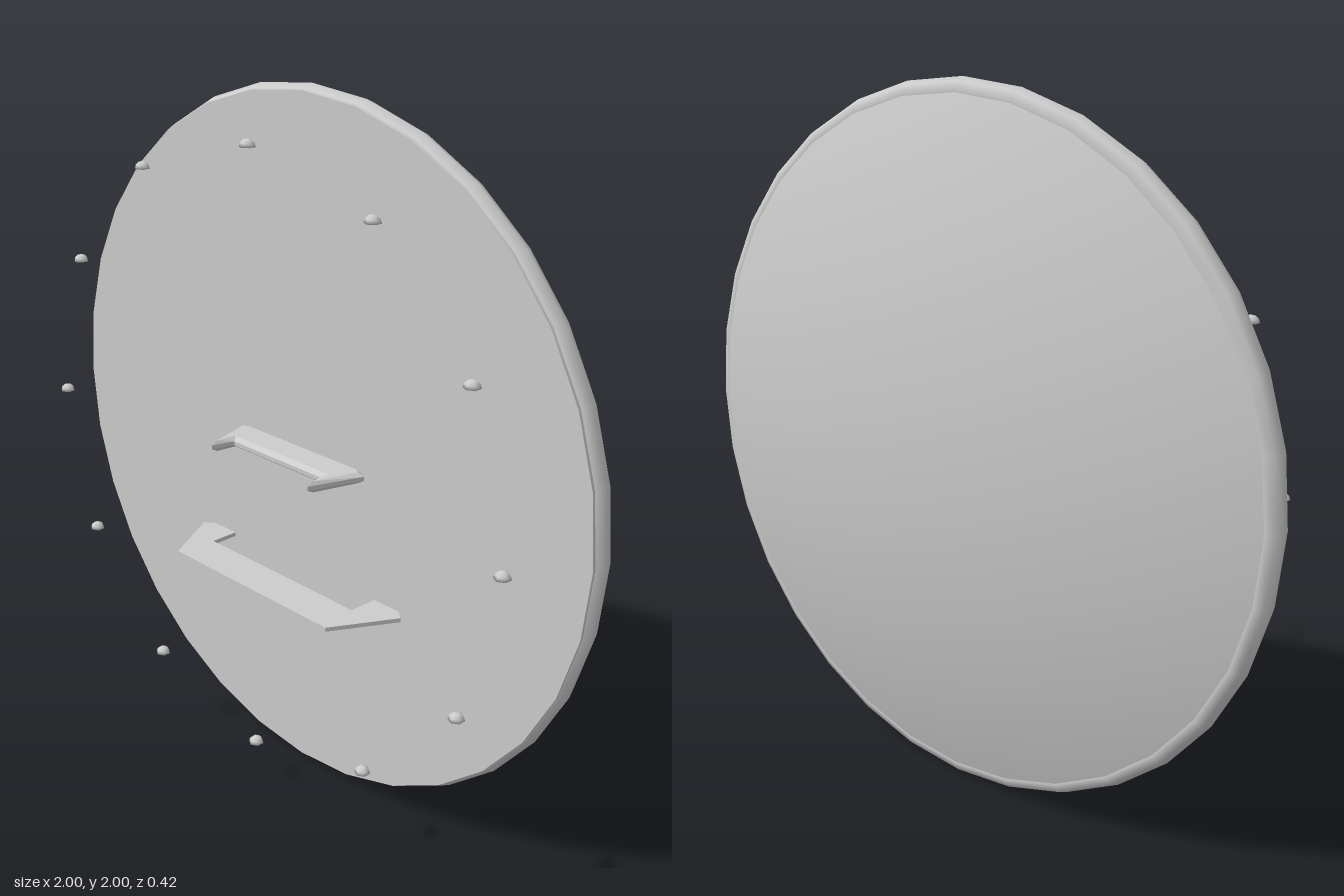
import * as THREE from 'three';

const SIDES = 32;

export function createModel() {
  const steel = new THREE.MeshStandardMaterial({ color: 0xcccccc });
  steel.name = 'lightGrey';
  const shield = new THREE.Group();
  shield.name = 'shield';

  const add = (name, geometry, x = 0, y = 1, z = 0) => {
    const mesh = new THREE.Mesh(geometry, steel);
    mesh.name = name;
    mesh.position.set(x, y, z);
    shield.add(mesh);
    return mesh;
  };

  // Flat inner plate and the rolled rim around it
  add('innerPlate', new THREE.CylinderGeometry(0.985, 0.985, 0.046, SIDES).rotateX(Math.PI / 2), 0, 1, -0.017);
  add('rim', new THREE.TorusGeometry(0.965, 0.035, 8, SIDES), 0, 1, -0.029);

  // Shallow spherical cap bulging backwards
  const edge = 0.97, rise = 0.152;
  const radius = (edge * edge + rise * rise) / (2 * rise);
  const cap = new THREE.SphereGeometry(radius, SIDES, 10, 0, Math.PI * 2, 0, Math.asin(edge / radius));
  cap.translate(0, -radius, 0).rotateX(-Math.PI / 2);
  add('dome', cap, 0, 1, -0.212);

  // Bracket outline, given half of its points as [x, z], extruded upwards and centred on y
  const bracket = (half, thickness, bevelHeight, bevelSize) => {
    const mirrored = half.map(([x, z]) => [-x, z]).reverse();
    const shape = new THREE.Shape([...half, ...mirrored].map(([x, z]) => new THREE.Vector2(x, z)));
    const depth = thickness - 2 * bevelHeight;
    const geometry = new THREE.ExtrudeGeometry(shape, {
      depth,
      bevelEnabled: bevelHeight > 0,
      bevelThickness: bevelHeight,
      bevelSize,
      bevelOffset: -bevelSize,
      bevelSegments: 1,
    });
    return geometry.translate(0, 0, -depth / 2).rotateX(Math.PI / 2);
  };

  // Hand grip with bevelled edges, and the thin arm bracket below it
  add('handGrip', bracket(
    [[0.175, -0.005], [0.22, -0.005], [0.25, 0.012], [0.195, 0.166], [0, 0.166], [0, 0.1], [0.175, 0.1]]
      .filter(([x]) => x > 0).reverse(), 0.032, 0.01, 0.014), 0, 1.002, 0);
  add('armBracket', bracket(
    [[0.29, 0.092], [0.29, -0.005], [0.365, -0.005], [0.41, 0.028], [0.31, 0.21]].reverse(),
    0.012, 0, 0), 0, 0.647, 0);

  // Ring of small six-sided rivet heads standing in front of the plate
  const r = 0.022;
  const profile = [[0, 0], [r, 0], [r * 0.87, r * 0.45], [r * 0.5, r * 0.8], [0, r * 0.9]]
    .map(([x, y]) => new THREE.Vector2(x, y));
  const rivet = new THREE.LatheGeometry(profile, 6);
  for (let i = 0; i < 12; i++) {
    const a = (i * Math.PI) / 6;
    add('rivet', rivet, 0.865 * Math.cos(a), 1.001 + 0.865 * Math.sin(a), 0.187);
  }

  return shield;
}
